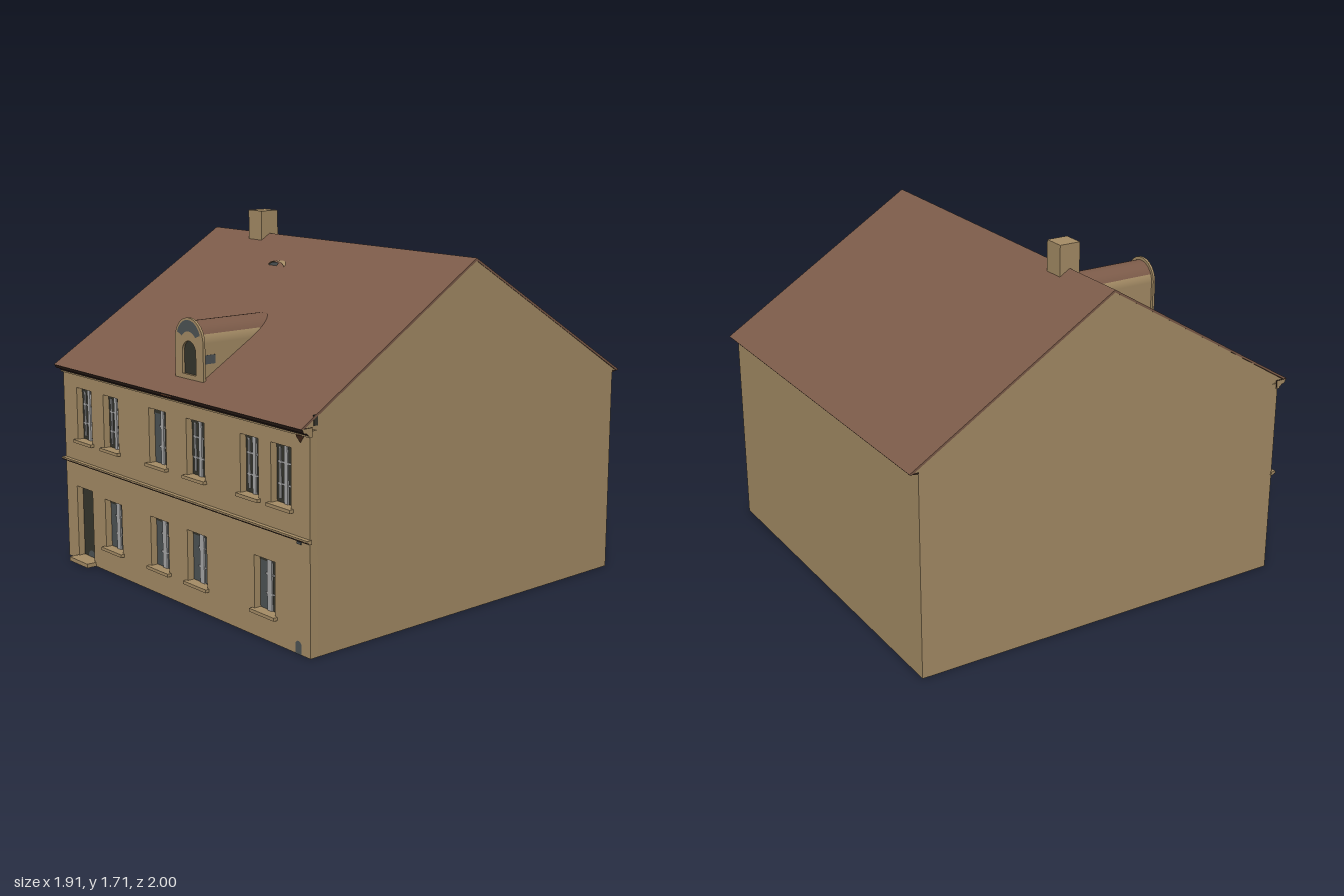
import * as THREE from 'three';

const mat = (name, color) => {
  const m = new THREE.MeshStandardMaterial({ color, side: THREE.DoubleSide });
  m.name = name;
  return m;
};

export function createModel() {
  const house = new THREE.Group();
  house.name = 'townHouse';
  const wall = mat('ochrePlaster', 0xa68d66);
  const roofMat = mat('clayRoof', 0x7c5b49);
  const gutterMat = mat('darkGutter', 0x33241d);
  const dark = mat('darkOpening', 0x36352d);
  const glass = mat('greyGlass', 0x4e5456);
  const light = mat('paleFrame', 0xa9a9a9);
  const rust = mat('rustIron', 0x6a4530);

  const add = (name, geo, material, parent = house) => {
    const mesh = new THREE.Mesh(geo, material);
    mesh.name = name;
    parent.add(mesh);
    return mesh;
  };
  // Box given by its limits
  const box = (name, x0, x1, y0, y1, z0, z1, material, parent) => {
    const g = new THREE.BoxGeometry(x1 - x0, y1 - y0, z1 - z0);
    g.translate((x0 + x1) / 2, (y0 + y1) / 2, (z0 + z1) / 2);
    return add(name, g, material, parent);
  };
  // Profile of [z, y] points pulled along x
  const alongX = (pts, x0, x1) => {
    const shape = new THREE.Shape(pts.map(p => new THREE.Vector2(...p)));
    const g = new THREE.ExtrudeGeometry(shape, { depth: x1 - x0, bevelEnabled: false });
    return g.rotateY(-Math.PI / 2).translate(x1, 0, 0);
  };
  // The plot narrows a little towards the back on the left-hand gable
  const taper = g => {
    const p = g.attributes.position;
    for (let i = 0; i < p.count; i++) {
      if (p.getX(i) > 0.8) p.setX(i, p.getX(i) + 0.0135 * (p.getZ(i) - 0.95));
    }
    g.computeVertexNormals();
    return g;
  };
  const rectPath = (x0, x1, y0, y1) => new THREE.Path([
    [x0, y0], [x1, y0], [x1, y1], [x0, y1]].map(p => new THREE.Vector2(...p)));
  // Upright outline with a round head
  const arched = (Type, cx, r, y0, spring) => {
    const s = new Type();
    s.moveTo(cx - r, y0);
    s.lineTo(cx + r, y0);
    s.lineTo(cx + r, spring);
    s.absarc(cx, spring, r, 0, Math.PI, false);
    s.lineTo(cx - r, y0);
    return s;
  };

  // Main block with gables
  add('houseBody', taper(alongX([[-0.957, 0], [0.91, 0], [0.91, 0.965], [0.985, 0.975],
    [0, 1.583], [-0.985, 0.975], [-0.957, 0.97]], -0.95, 0.95)), wall);

  // Roof slopes
  add('roof', taper(alongX([[1, 0.98], [0, 1.592], [-1, 0.98], [-0.985, 0.977],
    [0, 1.58], [0.985, 0.977]], -0.953, 0.953)), roofMat);
  add('rearSoffit', taper(alongX([[-0.955, 0.973], [-0.997, 0.976], [-0.997, 0.979],
    [-0.955, 0.979]], -0.952, 0.952)), gutterMat);

  // Eaves cornice and gutter
  add('eavesCornice', alongX([[0.94, 0.945], [0.955, 0.945], [0.97, 0.958], [0.985, 0.962],
    [0.994, 0.98], [0.94, 0.98]], -0.957, 0.955), [wall, gutterMat]);
  box('corniceFillet', -0.957, 0.955, 0.94, 0.947, 0.94, 0.958, wall);
  box('gutterJoint', -0.04, 0.04, 0.967, 0.973, 0.985, 0.994, rust);

  // Openings: x0, x1, left pane, right pane
  const upper = [[-0.83, -0.70, dark, dark], [-0.592, -0.465, dark, dark],
    [-0.205, -0.07, glass, dark], [0.09, 0.225, dark, dark],
    [0.485, 0.61, dark, dark], [0.695, 0.828, dark, dark]];
  const lower = [[-0.60, -0.455, glass, glass], [-0.21, -0.065, glass, glass],
    [0.083, 0.23, glass, glass], [0.575, 0.717, glass, dark]];

  // Street front with real openings
  const front = new THREE.Shape(rectPath(-0.95, 0.95, 0, 0.965).getPoints());
  upper.forEach(([a, b]) => front.holes.push(rectPath(a, b, 0.615, 0.877)));
  lower.forEach(([a, b]) => front.holes.push(rectPath(a, b, 0.12, 0.362)));
  front.holes.push(rectPath(-0.855, -0.713, 0.02, 0.377));
  add('frontWall', new THREE.ExtrudeGeometry(front, { depth: 0.04, bevelEnabled: false })
    .translate(0, 0, 0.91), wall);

  // Window: panes, centre post, glazing bars and sill
  const addWindow = ([x0, x1, left, right], y0, y1, isUpper) => {
    const w = new THREE.Group();
    w.name = isUpper ? 'upperWindow' : 'lowerWindow';
    house.add(w);
    const cx = (x0 + x1) / 2, h = y1 - y0, half = (x1 - x0) / 2;
    box('rightPane', x0, cx, y0, y1, 0.911, 0.917, left, w);
    box('leftPane', cx, x1, y0, y1, 0.911, 0.917, right, w);
    box('headShade', x0, x1, y1 - h * 0.1, y1, 0.917, 0.919, dark, w);
    const post = isUpper ? 0.011 : 0.016;
    box('centrePost', cx - post, cx + post, y0, y1, 0.917, 0.924, light, w);
    if (isUpper && left === dark) {
      for (const s of [-1, 1]) {
        const x = cx + s * half * 0.62;
        box('sashBar', x - 0.006, x + 0.006, y0 + 0.02, y1 - 0.02, 0.917, 0.922, light, w);
      }
    }
    const reach = isUpper && left === dark ? half * 0.85 : half * 0.4;
    for (const t of [0.32, 0.68]) {
      box('crossBar', cx - reach, cx + reach, y0 + h * t - 0.004, y0 + h * t + 0.004,
        0.917, 0.922, light, w);
    }
    box('sill', x0 - 0.014, x1 + 0.014, y0 - 0.012, y0 + 0.003, 0.912, 0.97, wall, w);
  };
  upper.forEach(d => addWindow(d, 0.615, 0.877, true));
  lower.forEach(d => addWindow(d, 0.12, 0.362, false));

  // Door and step
  box('door', -0.855, -0.713, 0.02, 0.377, 0.911, 0.917, dark);
  add('doorPatch', new THREE.CircleGeometry(0.033, 16, 0, Math.PI)
    .translate(-0.785, 0.02, 0.919), glass);
  box('doorStep', -0.865, -0.70, 0, 0.02, 0.912, 1, wall);

  // Band between the storeys
  add('stringCourse', alongX([[0.945, 0.492], [0.958, 0.494], [0.97, 0.504], [0.97, 0.511],
    [0.945, 0.511]], -0.957, 0.955), wall);
  box('bandShadowLine', -0.957, 0.955, 0.498, 0.503, 0.96, 0.968, gutterMat);

  // Small fittings at the front corner
  add('cellarVent', new THREE.ShapeGeometry(arched(THREE.Shape, 0.874, 0.021, 0, 0.038))
    .translate(0, 0, 0.952), glass);
  box('wallPlate', 0.87, 0.895, 0.48, 0.49, 0.95, 0.956, glass);
  add('cornerBracket', new THREE.ConeGeometry(0.025, 0.035, 4).rotateX(Math.PI)
    .translate(0.893, 0.925, 0.952), rust);
  box('gableHole', 0.947, 0.952, 0.985, 1.03, 0.908, 0.93, dark);

  // Chimney
  box('chimney', -0.61, -0.507, 1.56, 1.705, -0.052, 0.052, wall);

  // Eyebrow vent
  const brow = new THREE.Group();
  brow.name = 'eyebrowVent';
  brow.position.set(-0.206, 1.467, 0);
  house.add(brow);
  add('ventHood', new THREE.CylinderGeometry(1, 1, 0.06, 20, 1, true, Math.PI / 2, Math.PI)
    .rotateX(Math.PI / 2).scale(0.06, 0.026, 1).translate(0, 0, 0.17), wall, brow);
  add('ventMouth', new THREE.CircleGeometry(1, 20, Math.PI / 2.6, Math.PI * 0.615)
    .scale(0.055, 0.021, 1).translate(0, 0, 0.199), glass, brow);

  // Dormer
  const dormer = new THREE.Group();
  dormer.name = 'dormer';
  house.add(dormer);
  const cx = 0.053, spring = 1.21, r = 0.092, split = 0.45;
  const face = arched(THREE.Shape, cx, 0.107, 1.04, spring);
  face.holes.push(arched(THREE.Path, cx, 0.051, 1.062, 1.162));
  add('dormerFront', new THREE.ExtrudeGeometry(face,
    { depth: 0.012, bevelEnabled: false, curveSegments: 20 }).translate(0, 0, 0.889), wall, dormer);
  add('dormerOpening', new THREE.ShapeGeometry(arched(THREE.Shape, cx, 0.055, 1.058, 1.162))
    .translate(0, 0, 0.8885), dark, dormer);
  const arcPiece = (name, a0, a1, material) => {
    // Strip of the barrel between two angles, run back into the roof
    const n = 14, g = new THREE.PlaneGeometry(1, 1, n, 1), p = g.attributes.position;
    for (let i = 0; i < p.count; i++) {
      const a = a1 + (a0 - a1) * (p.getX(i) + 0.5);
      const back = p.getY(i) > 0;
      p.setXYZ(i, cx + r * Math.cos(a), spring + r * Math.sin(a), back ? 0.46 : 0.89);
    }
    g.computeVertexNormals();
    add(name, g, material, dormer);
  };
  arcPiece('dormerBarrelRoof', split, Math.PI - split, roofMat);
  arcPiece('dormerLeftHaunch', 0, split, wall);
  arcPiece('dormerRightHaunch', Math.PI - split, Math.PI, wall);
  for (const s of [-1, 1]) {
    const x = cx + s * (r - 0.003);
    box('dormerCheek', x - 0.003, x + 0.003, 1.03, spring, 0.5, 0.89, wall, dormer);
  }
  box('cheekPatch', cx + r, cx + r + 0.002, 1.118, 1.158, 0.825, 0.885, glass, dormer);
  // Grey patch around the head of the dormer
  const patch = new THREE.Shape();
  patch.absarc(cx, 1.215, 0.092, 0.35, Math.PI - 0.35, false);
  patch.absarc(cx, 1.19, 0.066, Math.PI - 0.7, 0.7, true);
  add('dormerHeadPatch', new THREE.ShapeGeometry(patch, 20).translate(0, 0, 0.9025), glass, dormer);

  return house;
}
